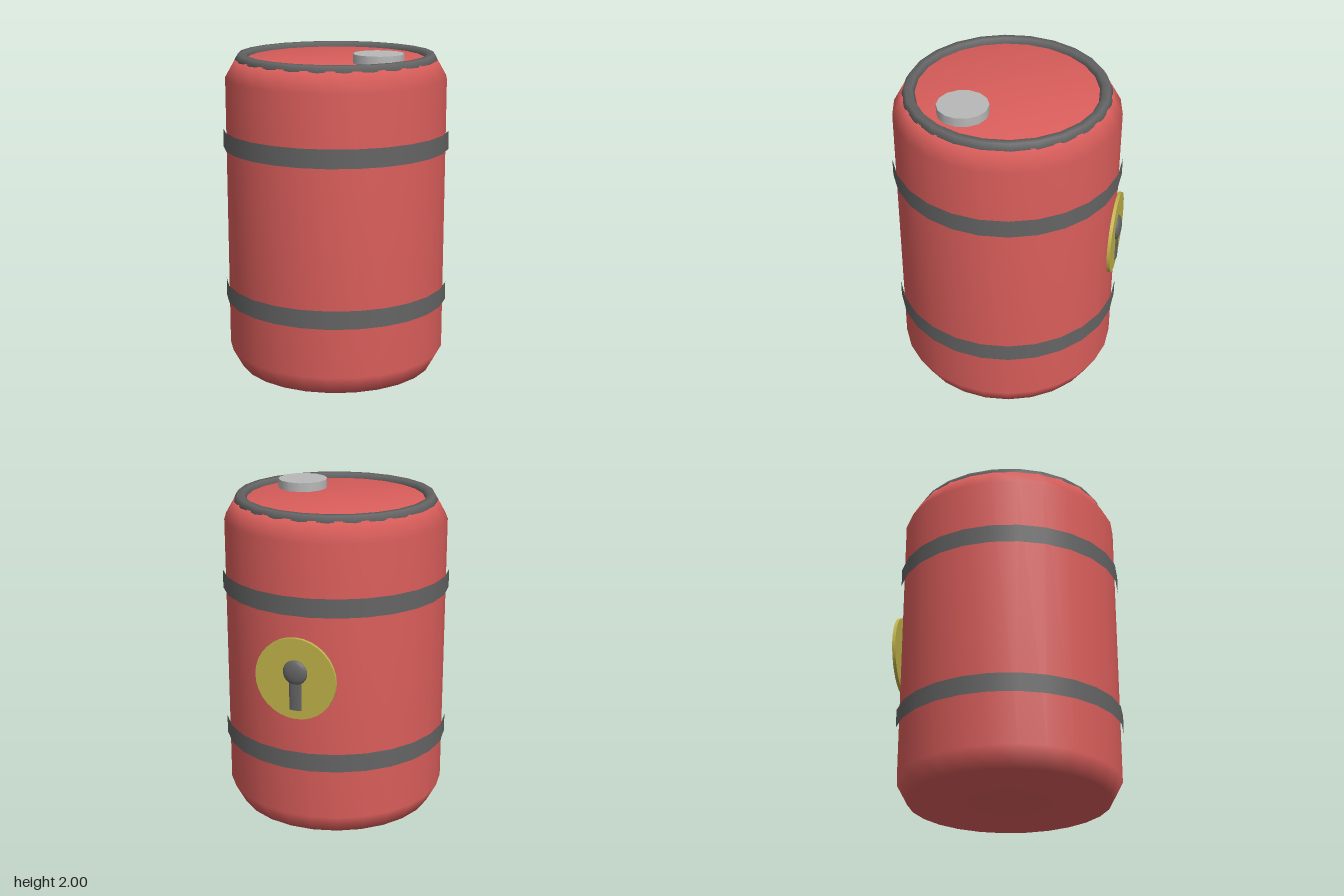
import * as THREE from 'three';
import { mergeVertices } from 'three/addons/utils/BufferGeometryUtils.js';

const SIDES = 26;

function material(name, color) {
  const m = new THREE.MeshStandardMaterial({ color });
  m.name = name;
  return m;
}

export function createModel() {
  const red = material('barrel red', 0xda5e5b);
  const dark = material('dark grey', 0x646464);
  const steel = material('light grey', 0xb8b8b8);
  const gold = material('brass yellow', 0xc1b34a);

  const model = new THREE.Group();
  model.name = 'barrel';
  const add = (name, geometry, mat, x, y, z, parent = model) => {
    const mesh = new THREE.Mesh(geometry, mat);
    mesh.name = name;
    mesh.position.set(x, y, z);
    parent.add(mesh);
    return mesh;
  };

  // Drum axis sits slightly forward because the lock sticks out at the back
  const axis = 0.015;

  // Body: chamfered drum with area-weighted smooth normals
  const profile = [[0, 0], [0.615, 0], [0.68, 0.12], [0.68, 1.83], [0.615, 1.945], [0, 1.945]]
    .map(([r, y]) => new THREE.Vector2(r, y));
  let body = new THREE.LatheGeometry(profile, SIDES, Math.PI / 2);
  body.deleteAttribute('uv');
  body.deleteAttribute('normal');
  body = mergeVertices(body, 1e-4);
  body.computeVertexNormals();
  add('body', body, red, 0, 0, axis);

  // Two open hoops standing just off the wall
  for (const [name, y] of [['lowerBand', 0.49], ['upperBand', 1.457]]) {
    const hoop = new THREE.CylinderGeometry(0.698, 0.698, 0.114, SIDES, 1, true, Math.PI / 2);
    add(name, hoop, dark, 0, y, axis);
  }

  // Rim around the lid
  const rim = new THREE.TorusGeometry(0.58, 0.04, 6, 24);
  rim.rotateX(-Math.PI / 2);
  add('topRim', rim, dark, 0, 1.94, axis);

  // Filler cap on the lid
  const cap = new THREE.CylinderGeometry(0.153, 0.153, 0.07, 14, 1, false, Math.PI / 2);
  add('fillerCap', cap, steel, 0.29, 1.965, 0.207);

  // Lock on the back: brass plate with a raised keyhole
  const lock = new THREE.Group();
  lock.name = 'lock';
  model.add(lock);
  const plate = new THREE.CylinderGeometry(0.252, 0.252, 0.02, 32);
  plate.rotateX(Math.PI / 2);
  add('lockPlate', plate, gold, 0, 1.013, -0.672, lock);
  const dome = add('keyholeTop', new THREE.SphereGeometry(0.076, 20, 12), dark, 0, 1.055, -0.682, lock);
  dome.scale.z = 0.36;
  const slot = add('keyholeSlot', new THREE.CylinderGeometry(0.04, 0.04, 0.2, 12), dark, 0, 0.92, -0.68, lock);
  slot.scale.z = 0.33;

  return model;
}
